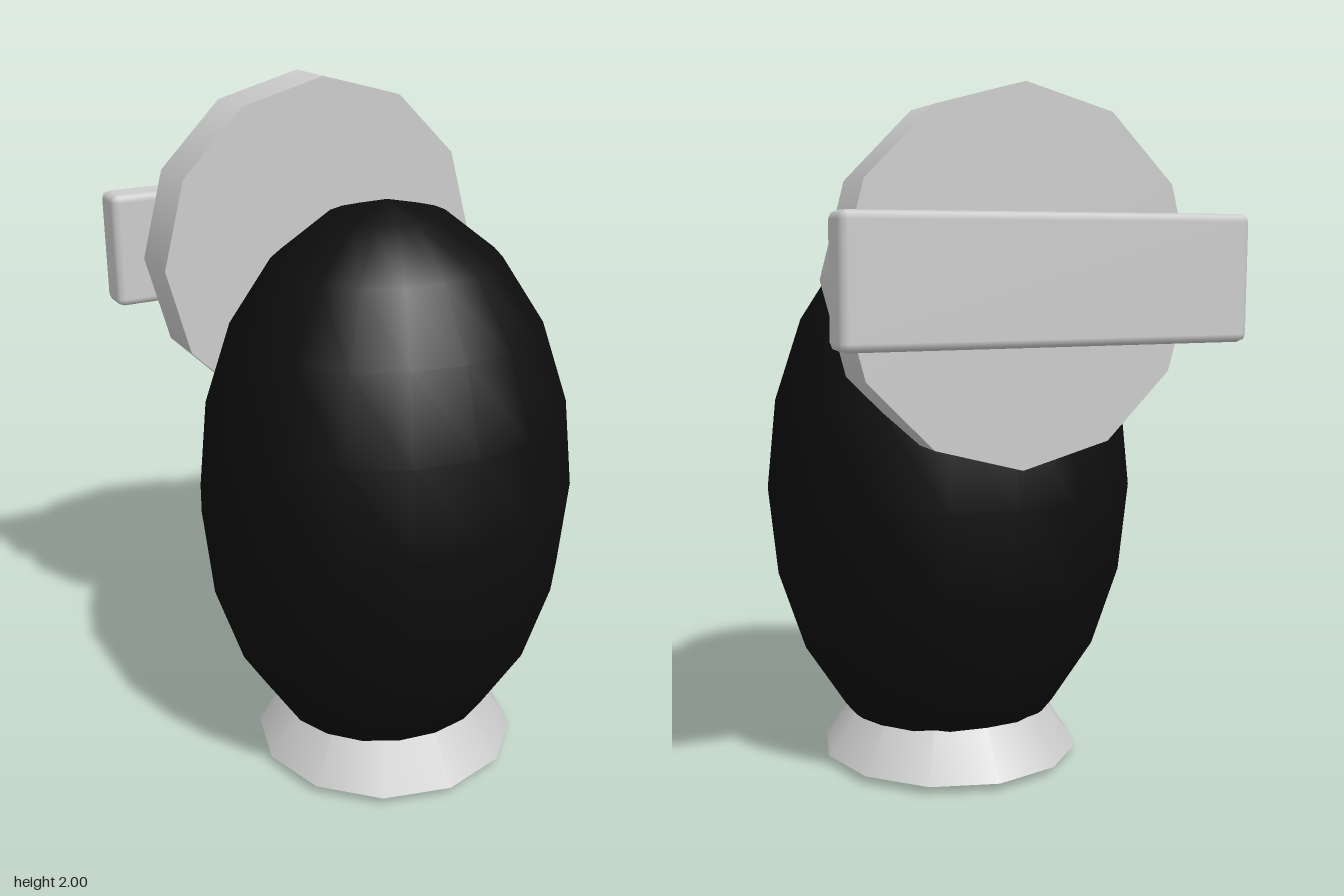
import * as THREE from 'three';
import { RoundedBoxGeometry } from 'three/addons/geometries/RoundedBoxGeometry.js';

export function createModel() {
  const model = new THREE.Group();
  const grey = new THREE.MeshStandardMaterial({ color: 0xcccccc });
  const black = new THREE.MeshStandardMaterial({ color: 0x0d0d0d });

  const add = (name, geometry, material, x, y, z) => {
    const mesh = new THREE.Mesh(geometry, material);
    mesh.name = name;
    mesh.position.set(x, y, z);
    model.add(mesh);
    return mesh;
  };

  // Egg-shaped body, with a column of vertices facing front and back
  const body = new THREE.SphereGeometry(1, 18, 10, Math.PI / 2);
  body.scale(0.558, 0.855, 0.52);
  add('body', body, black, 0, 0.86, 0.11);

  // Flared foot: a cone whose tip is hidden inside the body
  add('foot', new THREE.ConeGeometry(0.398, 0.585, 12), grey, 0, 0.03 + 0.585 / 2, 0.11);

  // Upright twelve-sided disc set into the upper back
  const disc = new THREE.CylinderGeometry(0.513, 0.513, 0.17, 12);
  disc.rotateX(Math.PI / 2);
  add('backDisc', disc, grey, 0, 1.487, -0.35);

  // Bevelled bar floating behind the disc
  add('rearBar', new RoundedBoxGeometry(1.14, 0.34, 0.115, 1, 0.022), grey, 0, 1.49, -0.578);

  return model;
}
